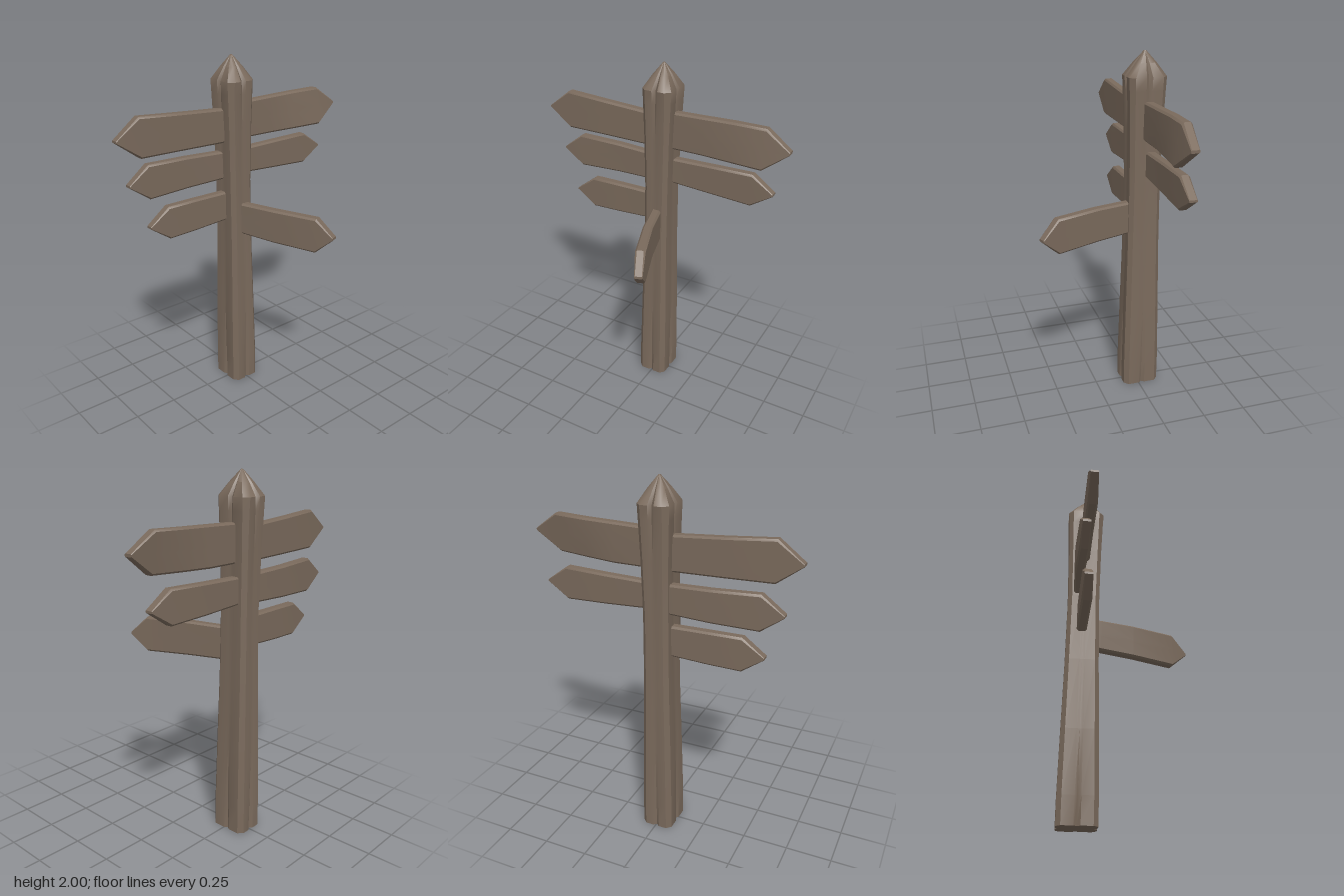
import * as THREE from 'three';
import { toCreasedNormals } from 'three/addons/utils/BufferGeometryUtils.js';

// Skin a list of equal-length rings and close both ends
function loft(rings, crease) {
  const n = rings[0].length, pos = [], idx = [];
  rings.forEach(r => r.forEach(p => pos.push(...p)));
  for (let i = 0; i < rings.length - 1; i++) {
    for (let j = 0; j < n; j++) {
      const a = i * n + j, b = i * n + (j + 1) % n;
      idx.push(a, a + n, b, b, a + n, b + n);
    }
  }
  [0, rings.length - 1].forEach((i, end) => {
    const c = pos.length / 3;
    pos.push(...[0, 1, 2].map(k => rings[i].reduce((s, p) => s + p[k], 0) / n));
    for (let j = 0; j < n; j++) {
      const a = i * n + j, b = i * n + (j + 1) % n;
      idx.push(c, end ? b : a, end ? a : b);
    }
  });
  const g = new THREE.BufferGeometry();
  g.setAttribute('position', new THREE.Float32BufferAttribute(pos, 3));
  g.setIndex(idx);
  return toCreasedNormals(g, crease);
}

// Chamfered rectangle with an optional split of depth g in the middle of each side
function section(a, b, c, g = 0) {
  const w = Math.min(a, b) * 0.2, out = [];
  for (let k = 0; k < 4; k++) {
    const [u, v] = k % 2 ? [b, a] : [a, b];
    const side = [[u, -v + c], [u, -w], [u - g, 0], [u, w], [u, v - c]];
    for (let [x, y] of side) {
      for (let r = 0; r < k; r++) [x, y] = [-y, x];
      out.push([x, y]);
    }
  }
  return out;
}

// Plank along x; stations are [distance, bottom, top, z centre, lean]
function plank(name, dir, stations, material) {
  const rings = stations.map(([s, y0, y1, z, lean = 0], i) => {
    const h = (y1 - y0) / 2, t = 0.028 - (i === stations.length - 1 ? 0.006 : 0);
    const ring = section(t, h, Math.min(0.01, h * 0.5))
      .map(([dz, dy]) => [dir * s, (y0 + y1) / 2 + dy, z + dz + lean * dy]);
    return dir < 0 ? ring.reverse() : ring;
  });
  const mesh = new THREE.Mesh(loft(rings, 0.6), material);
  mesh.name = name;
  return mesh;
}

export function createModel() {
  const group = new THREE.Group();
  group.name = 'signpost';
  const wood = new THREE.MeshStandardMaterial({ color: 0x7a6a5c });
  wood.name = 'weathered wood';

  // Post: [height, half width, half depth, chamfer, split depth]
  const levels = [
    [0, 0.088, 0.107, 0.025, 0.014], [0.15, 0.088, 0.107, 0.025, 0.012],
    [0.5, 0.082, 0.101, 0.024, 0.004], [0.9, 0.073, 0.093, 0.022, 0.002],
    [1.3, 0.071, 0.089, 0.022, 0.002], [1.6, 0.076, 0.094, 0.022, 0.004],
    [1.8, 0.083, 0.101, 0.025, 0.010], [1.87, 0.086, 0.105, 0.028, 0.016],
    [1.94, 0.046, 0.055, 0.016, 0.009], [2, 0.004, 0.005, 0.001, 0],
  ];
  const post = new THREE.Mesh(loft(levels.map(([y, a, b, c, g]) =>
    section(a, b, c, g).map(([x, z]) => [x - 0.004, y, z - 0.268])), 0.65), wood);
  post.name = 'post';
  group.add(post);

  // Side planks
  group.add(
    plank('upperLeftPlank', 1, [
      [0, 1.535, 1.742, -0.272], [0.25, 1.534, 1.748, -0.268], [0.42, 1.537, 1.752, -0.257, -0.1],
      [0.6, 1.542, 1.756, -0.237, -0.15], [0.735, 1.645, 1.66, -0.24, -0.1]], wood),
    plank('lowerLeftPlank', 1, [
      [0, 1.33, 1.465, -0.29], [0.08, 1.322, 1.47, -0.292], [0.3, 1.31, 1.475, -0.29],
      [0.535, 1.3, 1.481, -0.283], [0.657, 1.382, 1.394, -0.28]], wood),
    plank('upperRightPlank', -1, [
      [0, 1.53, 1.715, -0.272], [0.08, 1.53, 1.72, -0.27], [0.35, 1.535, 1.737, -0.268],
      [0.605, 1.54, 1.756, -0.262], [0.738, 1.64, 1.652, -0.262]], wood),
    plank('middleRightPlank', -1, [
      [0, 1.315, 1.468, -0.295], [0.08, 1.312, 1.473, -0.298], [0.3, 1.306, 1.481, -0.306],
      [0.55, 1.3, 1.49, -0.294], [0.668, 1.386, 1.398, -0.29]], wood),
    plank('lowerRightPlank', -1, [
      [0, 1.075, 1.238, -0.275], [0.08, 1.07, 1.24, -0.275], [0.28, 1.06, 1.242, -0.273],
      [0.455, 1.056, 1.242, -0.27], [0.573, 1.14, 1.152, -0.268]], wood),
  );

  // Plank pointing forward and slightly aside
  const front = plank('frontPlank', 1, [
    [-0.08, 0.995, 1.175, 0], [0, 0.99, 1.177, 0], [0.2, 0.985, 1.18, 0.012],
    [0.46, 0.98, 1.18, 0.006], [0.56, 1.07, 1.084, -0.002]], wood);
  front.position.set(0.012, 0, -0.17);
  front.rotation.y = -1.23;
  group.add(front);

  return group;
}
